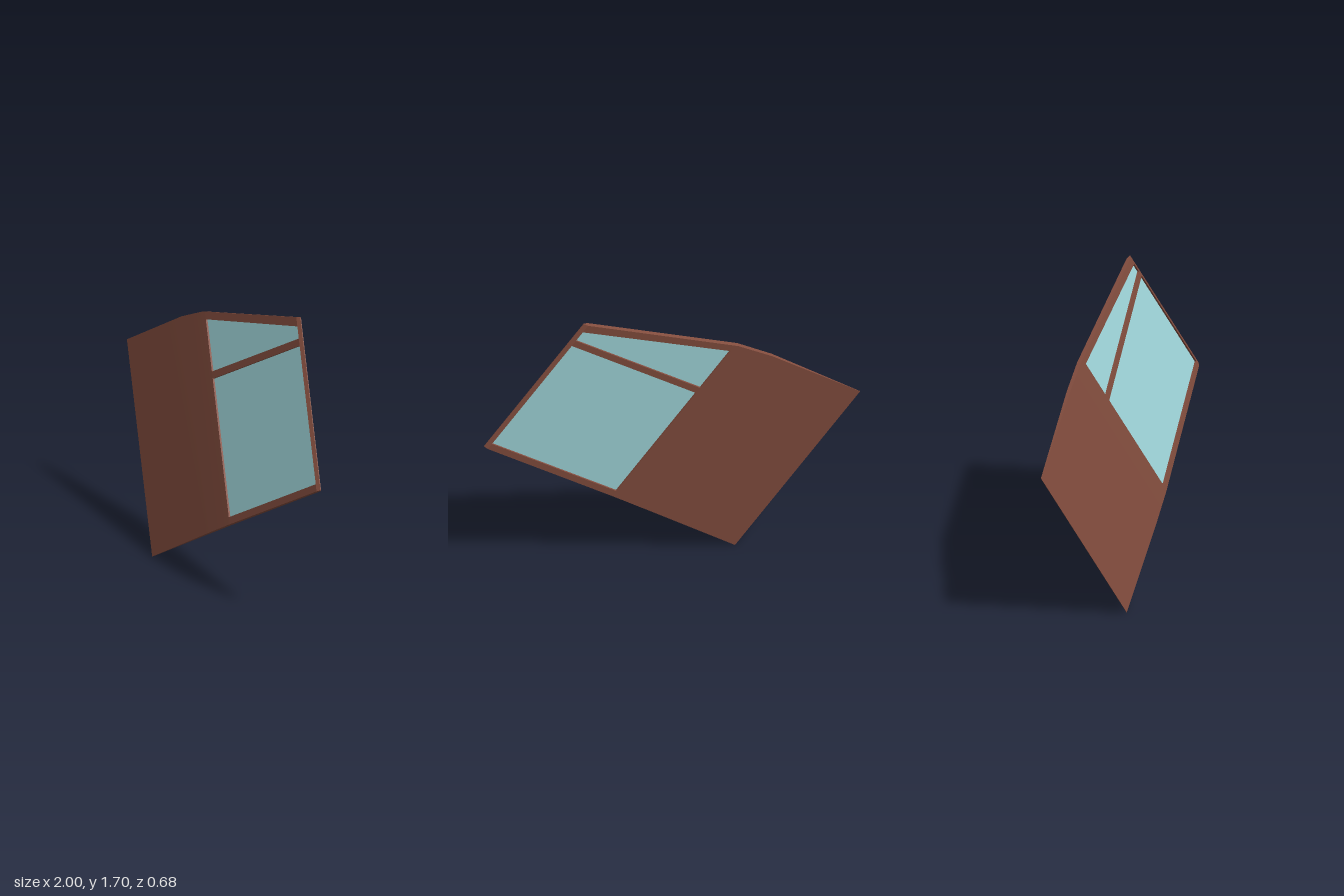
import * as THREE from 'three';
import { toCreasedNormals } from 'three/addons/utils/BufferGeometryUtils.js';

// Panel axes: a runs along the bottom edge, b up the panel, c out of its front
const A = new THREE.Vector3(0.840, 0.521, 0.148);
const B = new THREE.Vector3(-0.451, 0.824, -0.344);
const C = new THREE.Vector3(-0.301, 0.222, 0.927);
const ORIGIN = new THREE.Vector3(-0.452, 0.006, 0.077);

// Piecewise linear curve through [a, value] points
const curve = (pts) => (a) => {
  let i = 0;
  while (i < pts.length - 2 && a > pts[i + 1][0]) i++;
  const [a0, v0] = pts[i], [a1, v1] = pts[i + 1];
  return v0 + (v1 - v0) * (a - a0) / (a1 - a0);
};

const END = 1.727, WIN_L = 0.842, WIN_R = 1.703;
const bow = curve([[0, 0], [0.6, 0.016], [0.83, 0.019], [END, 0]]);
const half = curve([[0, 0.001], [0.6, 0.011], [0.83, 0.013], [WIN_R, 0.012], [END, 0.002]]);
const top = curve([[0, 1.22], [0.6, 1.22], [0.82, 1.2], [END, 0.972]]);
const windowTop = curve([[WIN_L, 1.151], [WIN_R, 0.926]]);
const flat = (b) => () => b;

// Solid between two edge curves, following the bow of the panel
function slab(name, material, stations, lo, hi, depth) {
  const pos = [];
  const rings = stations.map((a) => {
    const corner = (b, s) => ORIGIN.clone().addScaledVector(A, a).addScaledVector(B, b)
      .addScaledVector(C, bow(a) + s * depth(a));
    return [corner(lo(a), -1), corner(hi(a), -1), corner(hi(a), 1), corner(lo(a), 1)];
  });
  const quad = (p, q, r, s) => [p, q, r, p, r, s].forEach((v) => pos.push(v.x, v.y, v.z));
  for (let i = 0; i < rings.length - 1; i++) {
    for (let j = 0; j < 4; j++) {
      const k = (j + 1) % 4;
      quad(rings[i][j], rings[i][k], rings[i + 1][k], rings[i + 1][j]);
    }
  }
  quad(...rings[0].slice().reverse());
  quad(...rings[rings.length - 1]);
  const geo = new THREE.BufferGeometry();
  geo.setAttribute('position', new THREE.Float32BufferAttribute(pos, 3));
  const mesh = new THREE.Mesh(toCreasedNormals(geo, 0.5), material);
  mesh.name = name;
  return mesh;
}

export function createModel() {
  const model = new THREE.Group();
  model.name = 'doorPanel';
  const paint = new THREE.MeshStandardMaterial({ color: 0x834d3e });
  const glass = new THREE.MeshStandardMaterial({ color: 0xa2dade });
  const span = [WIN_L, WIN_R];

  model.add(
    // Solid lower panel
    slab('lowerPanel', paint, [0, 0.3, 0.6, 0.72, 0.82, WIN_L], flat(0), top, half),
    // Window frame
    slab('frontFrameBar', paint, span, windowTop, top, half),
    slab('rearFrameBar', paint, span, flat(0), flat(0.04), half),
    slab('upperFrameBar', paint, [WIN_R, END], flat(0), top, half),
    slab('windowDivider', paint, span, flat(0.818), flat(0.858), half),
    // Two panes set inside the frame
    slab('mainPane', glass, span, flat(0.04), flat(0.818), flat(0.002)),
    slab('quarterPane', glass, span, flat(0.858), windowTop, flat(0.002)),
  );
  return model;
}
